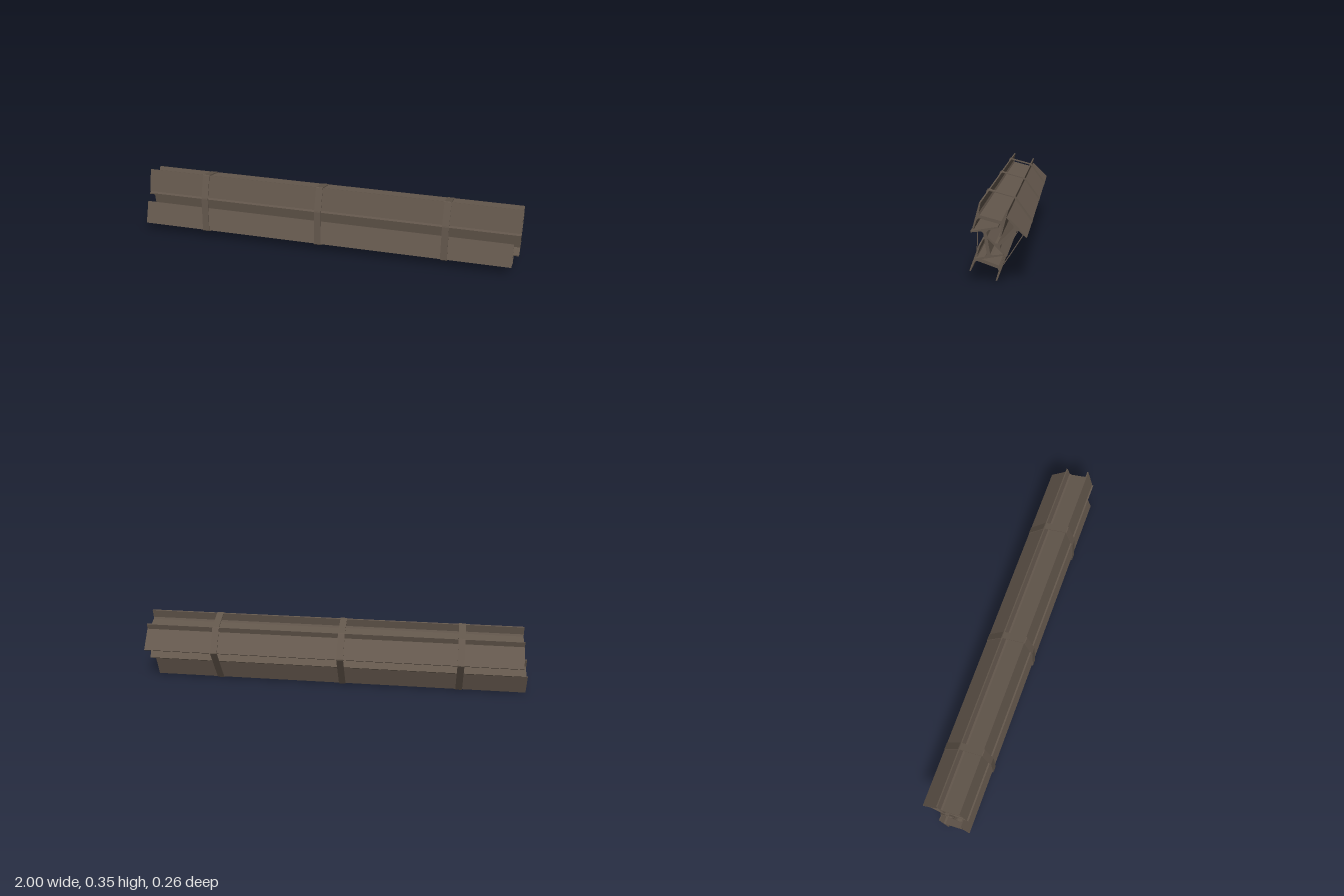
import * as THREE from 'three';

const BEAM_LENGTH = 1.97;
const STRAP_WIDTH = 0.035;
const STRAP_THICKNESS = 0.0045;

// Turns a cross-section (drawn in -z, y) into a bar running along x, centred on x = 0
function extrudeAlongX(shape, length) {
  const geometry = new THREE.ExtrudeGeometry(shape, { depth: length, bevelEnabled: false });
  geometry.translate(0, 0, -length / 2);
  geometry.rotateY(Math.PI / 2);
  return geometry;
}

// I-section with tapered flanges; the web lies along the section's first axis
function beamShape() {
  const h = 0.0635, w = 0.0595;
  const quarter = [[h, w], [h - 0.0065, w], [h - 0.009, 0.016], [h - 0.016, 0.007]];
  const flip = (sx, sy) => quarter.map(([x, y]) => new THREE.Vector2(x * sx, y * sy));
  return new THREE.Shape([
    ...flip(1, 1).reverse(), ...flip(1, -1),
    ...flip(-1, -1).reverse(), ...flip(-1, 1),
  ].reverse());
}

// Closed band: polygon with clipped corners, and the same polygon inset as a hole
function strapShape() {
  const corners = [
    [-0.0795, 0.3545], [0.047, 0.32], [0.13, 0.206],
    [-0.006, -0.0015], [-0.1305, 0.047], [-0.1225, 0.233],
  ].map(([s, y]) => new THREE.Vector2(s, y));
  const n = corners.length;
  const outer = [], inner = [];
  corners.forEach((p, i) => {
    const toPrev = corners[(i + n - 1) % n].clone().sub(p).normalize();
    const toNext = corners[(i + 1) % n].clone().sub(p).normalize();
    outer.push(p.clone().addScaledVector(toPrev, 0.003), p.clone().addScaledVector(toNext, 0.003));
    // Move along both edges so that the inset is even on every side
    const sine = Math.abs(toPrev.cross(toNext));
    inner.push(p.clone().addScaledVector(toPrev.clone().add(toNext), STRAP_THICKNESS / sine));
  });
  const shape = new THREE.Shape(outer);
  shape.holes.push(new THREE.Path(inner));
  return shape;
}

export function createModel() {
  const group = new THREE.Group();
  const steel = new THREE.MeshStandardMaterial({ color: 0x63574c });
  steel.name = 'brownSteel';

  // Four stacked beams: centre x, y, z and roll
  const beamGeometry = extrudeAlongX(beamShape(), BEAM_LENGTH);
  const beams = [
    ['topBeam', 0.015, 0.2765, 0.03, -0.264],
    ['backBeam', 0.015, 0.203, -0.04, 0.78],
    ['middleBeam', 0.015, 0.175, 0.045, -1.404],
    ['bottomBeam', -0.015, 0.083, 0.0435, -0.35],
  ];
  for (const [name, x, y, z, roll] of beams) {
    const beam = new THREE.Mesh(beamGeometry, steel);
    beam.name = name;
    beam.position.set(x, y, z);
    beam.rotation.x = roll;
    group.add(beam);
  }

  // Three straps holding the bundle
  const strapGeometry = extrudeAlongX(strapShape(), STRAP_WIDTH);
  [-0.652, -0.033, 0.629].forEach((x, i) => {
    const strap = new THREE.Mesh(strapGeometry, steel);
    strap.name = ['rightStrap', 'middleStrap', 'leftStrap'][i];
    strap.position.x = x;
    group.add(strap);
  });
  return group;
}
